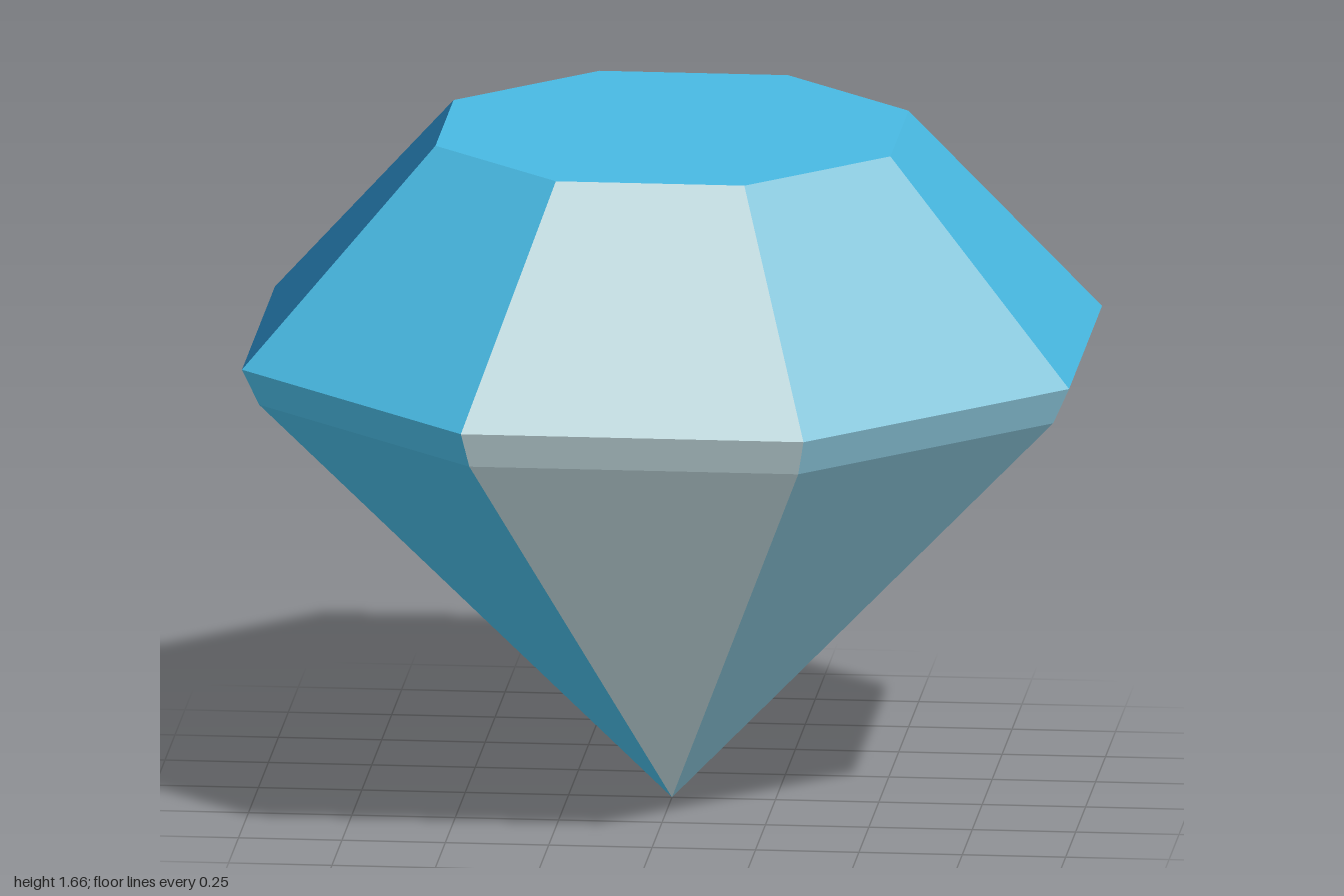
import * as THREE from 'three';

const SIDES = 8;
const STEP = (Math.PI * 2) / SIDES;

const material = (name, color) => {
  const m = new THREE.MeshStandardMaterial({ color });
  m.name = name;
  return m;
};

// Distances are measured to the middle of a flat side; corners lie further out
const corner = (apothem) => apothem / Math.cos(STEP / 2);

// One flat facet of a ring, between two heights
function facet(index, [r0, y0], [r1, y1], mat) {
  const profile = [new THREE.Vector2(corner(r0), y0), new THREE.Vector2(corner(r1), y1)];
  const geometry = new THREE.LatheGeometry(profile, 1, (index - 0.5) * STEP, STEP).toNonIndexed();
  geometry.computeVertexNormals();
  return new THREE.Mesh(geometry, mat);
}

export function createModel() {
  const model = new THREE.Group();
  model.name = 'gem';

  const pale = material('pale ice', 0xc2dbdf);
  const light = material('light blue', 0x8bc8dd);
  const cyan = material('bright cyan', 0x48b8e1);
  const deep = material('deep blue', 0x2273a5);

  // Facet colours, counted from the front (+z) towards +x
  const colours = [pale, light, cyan, pale, light, cyan, deep, cyan];

  // Rings of facets from the pointed base up to the table: [radius, height]
  const tip = [0, 0], lowerRim = [0.96, 1.05], upperRim = [1, 1.14], tableRim = [0.55, 1.66];
  const rings = [
    ['pavilion', tip, lowerRim],
    ['girdle', lowerRim, upperRim],
    ['crown', upperRim, tableRim],
  ];
  for (const [name, bottom, top] of rings) {
    const ring = new THREE.Group();
    ring.name = name;
    colours.forEach((mat, i) => {
      const mesh = facet(i, bottom, top, mat);
      mesh.name = `${name}Facet${i + 1}`;
      ring.add(mesh);
    });
    model.add(ring);
  }

  // Flat top
  const table = new THREE.Mesh(new THREE.CircleGeometry(corner(tableRim[0]), SIDES, STEP / 2), cyan);
  table.name = 'table';
  table.rotation.x = -Math.PI / 2;
  table.position.y = tableRim[1];
  model.add(table);

  return model;
}
